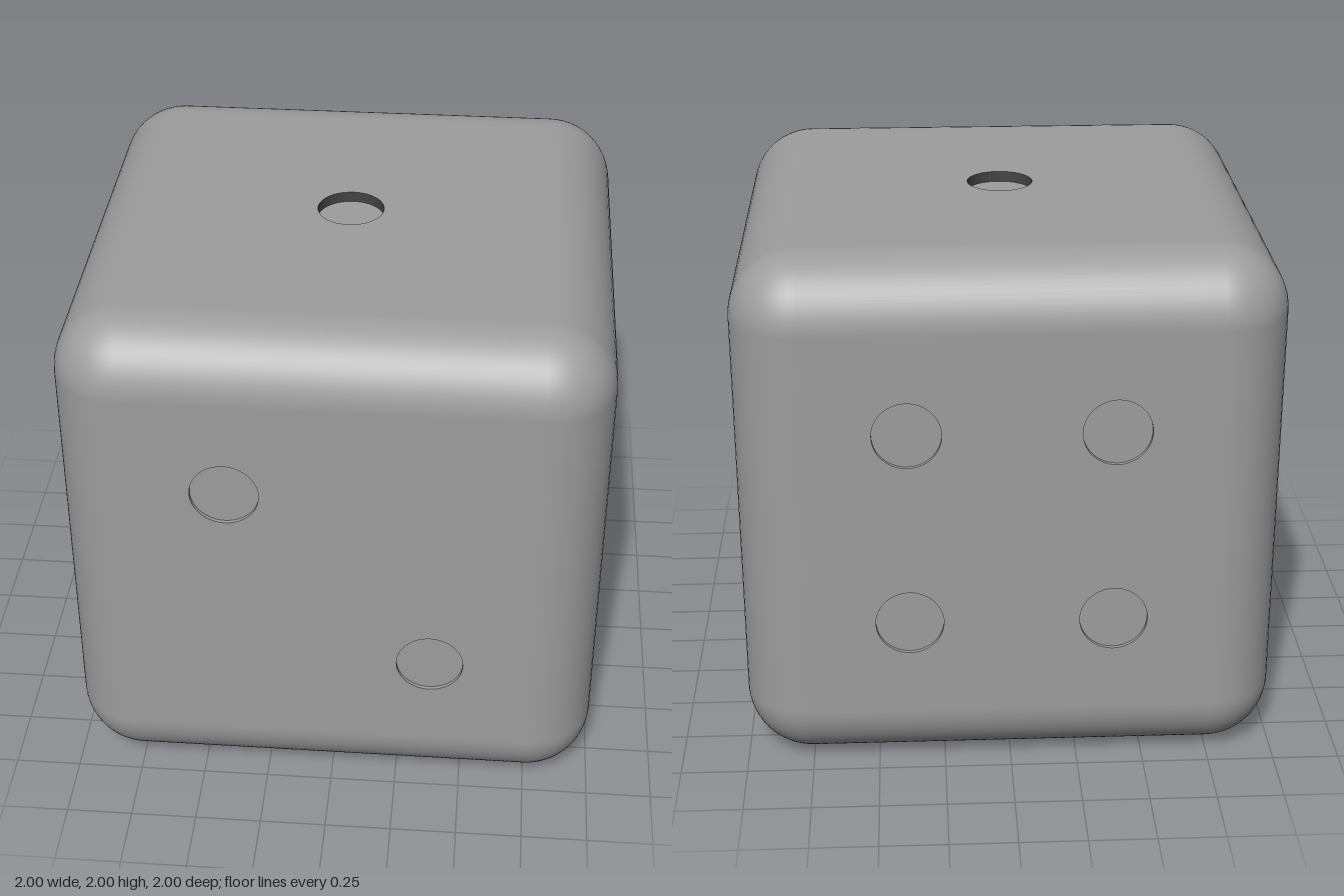
import * as THREE from 'three';
import { RoundedBoxGeometry } from 'three/addons/geometries/RoundedBoxGeometry.js';

const EDGE = 0.25, PIP = 0.125, STEP = 0.375;
const grey = new THREE.MeshStandardMaterial({ color: 0x9d9d9d });
const darkWall = new THREE.MeshStandardMaterial({ color: 0x444444, side: THREE.DoubleSide });
const greyWall = new THREE.MeshStandardMaterial({ color: 0x9d9d9d, side: THREE.DoubleSide });

// Rounded edges and corners only: the flat centre of each side is left out for a panel
function edgesGeometry() {
  const g = new RoundedBoxGeometry(2, 2, 2, 8, EDGE);
  const p = g.attributes.position, n = g.attributes.normal;
  const pos = [], nor = [];
  for (let i = 0; i < p.count; i += 3) {
    const flat = [0, 1, 2].some((axis) =>
      [0, 1, 2].every((k) => Math.abs(p.getComponent(i + k, axis)) > 1 - 1e-6));
    if (flat) continue;
    for (let k = i; k < i + 3; k++) {
      pos.push(p.getX(k), p.getY(k), p.getZ(k));
      nor.push(n.getX(k), n.getY(k), n.getZ(k));
    }
  }
  const out = new THREE.BufferGeometry();
  out.setAttribute('position', new THREE.Float32BufferAttribute(pos, 3));
  out.setAttribute('normal', new THREE.Float32BufferAttribute(nor, 3));
  return out;
}

function add(parent, name, geometry, material = grey) {
  const mesh = new THREE.Mesh(geometry, material);
  mesh.name = name;
  parent.add(mesh);
}

// One flat side facing +z, with sunken round pips at the given steps from its centre
function makeSide(name, spots, depth, wallMaterial) {
  const side = new THREE.Group();
  side.name = name;
  const h = 1 - EDGE;
  const panel = new THREE.Shape([[-h, -h], [h, -h], [h, h], [-h, h]].map(([x, y]) => new THREE.Vector2(x, y)));
  for (const [u, v] of spots) {
    const x = u * STEP, y = v * STEP;
    panel.holes.push(new THREE.Path().absarc(x, y, PIP, 0, Math.PI * 2, true));
    add(side, 'pipWall', new THREE.CylinderGeometry(PIP, PIP, depth, 48, 1, true)
      .rotateX(Math.PI / 2).translate(x, y, 1 - depth / 2), wallMaterial);
    add(side, 'pipFloor', new THREE.CircleGeometry(PIP, 48).translate(x, y, 1 - depth));
  }
  add(side, 'panel', new THREE.ShapeGeometry(panel, 24).translate(0, 0, 1));
  return side;
}

export function createModel() {
  const die = new THREE.Group();
  die.name = 'die';
  const cube = new THREE.Group();
  cube.name = 'cube';
  cube.position.y = 1;
  die.add(cube);
  add(cube, 'roundedEdges', edgesGeometry());

  // Sides: name, turn about x and y, pip places (right, up), pip depth, wall material
  const square = [[-1, 1], [1, 1], [-1, -1], [1, -1]];
  const quarter = Math.PI / 2;
  const sides = [
    ['top', -quarter, 0, [[0, 0]], 0.04, darkWall],
    ['front', 0, 0, [[-1, 1], [1, -1]], 0.015, greyWall],
    ['bottom', quarter, 0, [[-1, 1], [0, 0], [1, -1]], 0.015, greyWall],
    ['back', 0, Math.PI, square, 0.015, greyWall],
    ['leftSide', 0, quarter, [...square, [0, 0]], 0.015, greyWall],
    ['rightSide', 0, -quarter, [...square, [0, 1], [0, -1]], 0.015, greyWall],
  ];
  for (const [name, rx, ry, spots, depth, wall] of sides) {
    const side = makeSide(name, spots, depth, wall);
    side.rotation.set(rx, ry, 0);
    cube.add(side);
  }
  return die;
}
